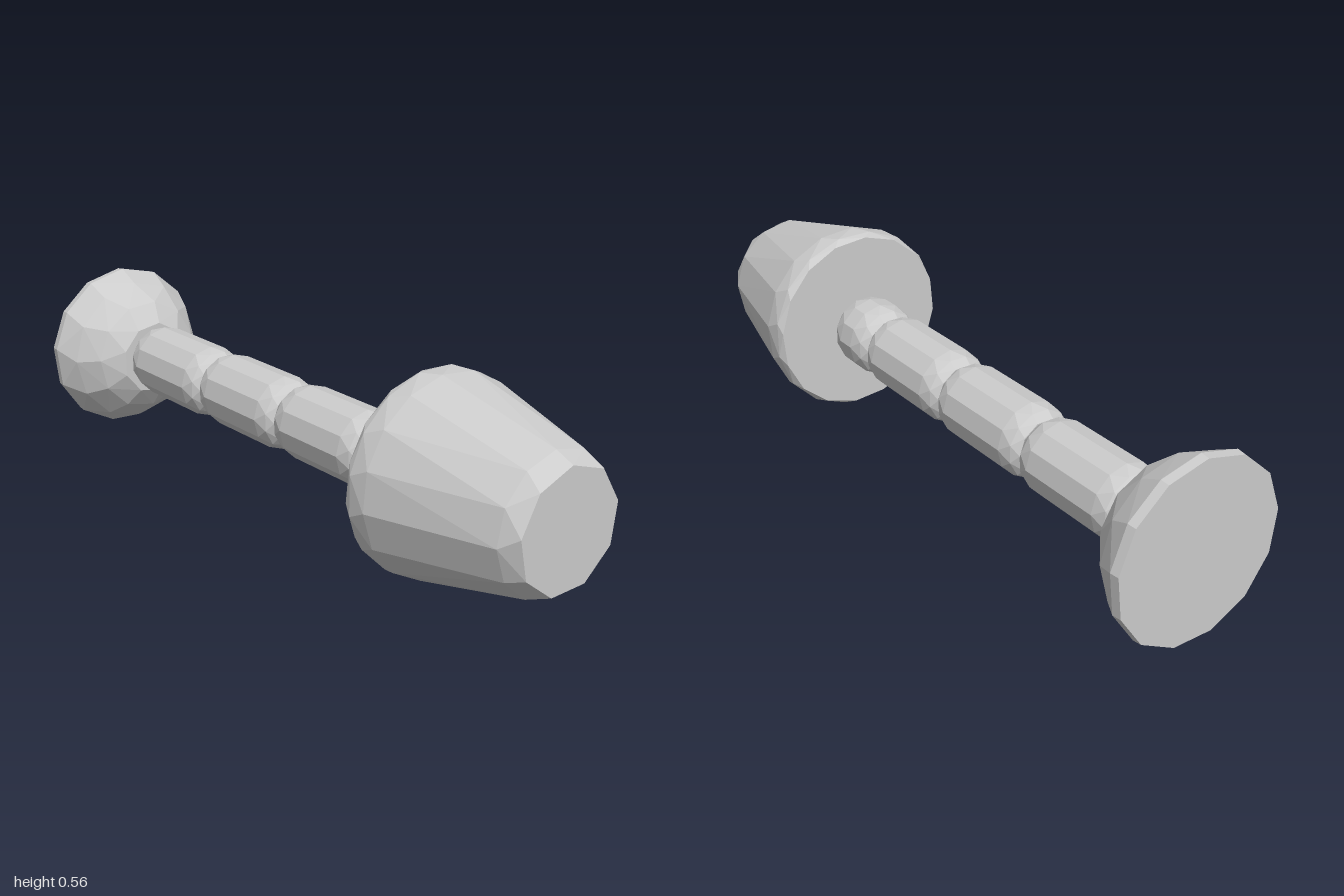
import * as THREE from 'three';
import { ConvexGeometry } from 'three/addons/geometries/ConvexGeometry.js';

const TILT = 0.031; // sideways lean of the long axis

const material = new THREE.MeshStandardMaterial({ color: 0xcccccc, flatShading: true });

// Faceted solid around rings of [z, radius, sides, turn], centred on (cx, cy)
function facetedSolid(name, rings, cx, cy, zCentre) {
  const points = [];
  for (const [z, r, sides, turn] of rings) {
    for (let i = 0; i < sides; i++) {
      const a = ((i + turn) / sides) * Math.PI * 2;
      const dx = r * Math.cos(a);
      points.push(new THREE.Vector3(
        cx - TILT * (z - zCentre) + dx,
        cy + r * Math.sin(a),
        z + TILT * dx
      ));
    }
  }
  const mesh = new THREE.Mesh(new ConvexGeometry(points), material);
  mesh.name = name;
  return mesh;
}

export function createModel() {
  const group = new THREE.Group();
  group.name = 'mallet';

  // Tapered head with bevelled front and rear rims
  group.add(facetedSolid('head', [
    [0.995, 0.166, 9, 0.3],
    [0.945, 0.191, 12, 0.1],
    [0.58, 0.279, 16, 0.25],
    [0.525, 0.28, 16, 0.5],
    [0.504, 0.27, 16, 0.25],
  ], -0.018, 0.288, 0.7));

  // Grip of four rounded segments, the first one short
  const joints = [0.505, 0.33, -0.037, -0.407, -0.785];
  for (let i = 0; i < 4; i++) {
    const front = joints[i], back = joints[i + 1], mid = (front + back) / 2;
    group.add(facetedSolid('gripSegment' + (i + 1), [
      [front, 0.082, 10, 0],
      [front - 0.022, 0.1, 12, 0.5],
      [front - 0.06, 0.109, 12, 0],
      [back + 0.06, 0.109, 12, 0],
      [back + 0.022, 0.1, 12, 0.5],
      [back, 0.082, 10, 0],
    ], 0.003 - TILT * mid, 0.27 + 0.01 * mid, mid));
  }

  // Domed pommel with a flat end
  group.add(facetedSolid('pommel', [
    [-0.784, 0.115, 9, 0],
    [-0.83, 0.175, 11, 0.4],
    [-0.895, 0.225, 12, 0],
    [-0.965, 0.258, 13, 0.25],
    [-0.991, 0.255, 13, 0.25],
  ], 0.031, 0.258, -0.95));

  return group;
}
